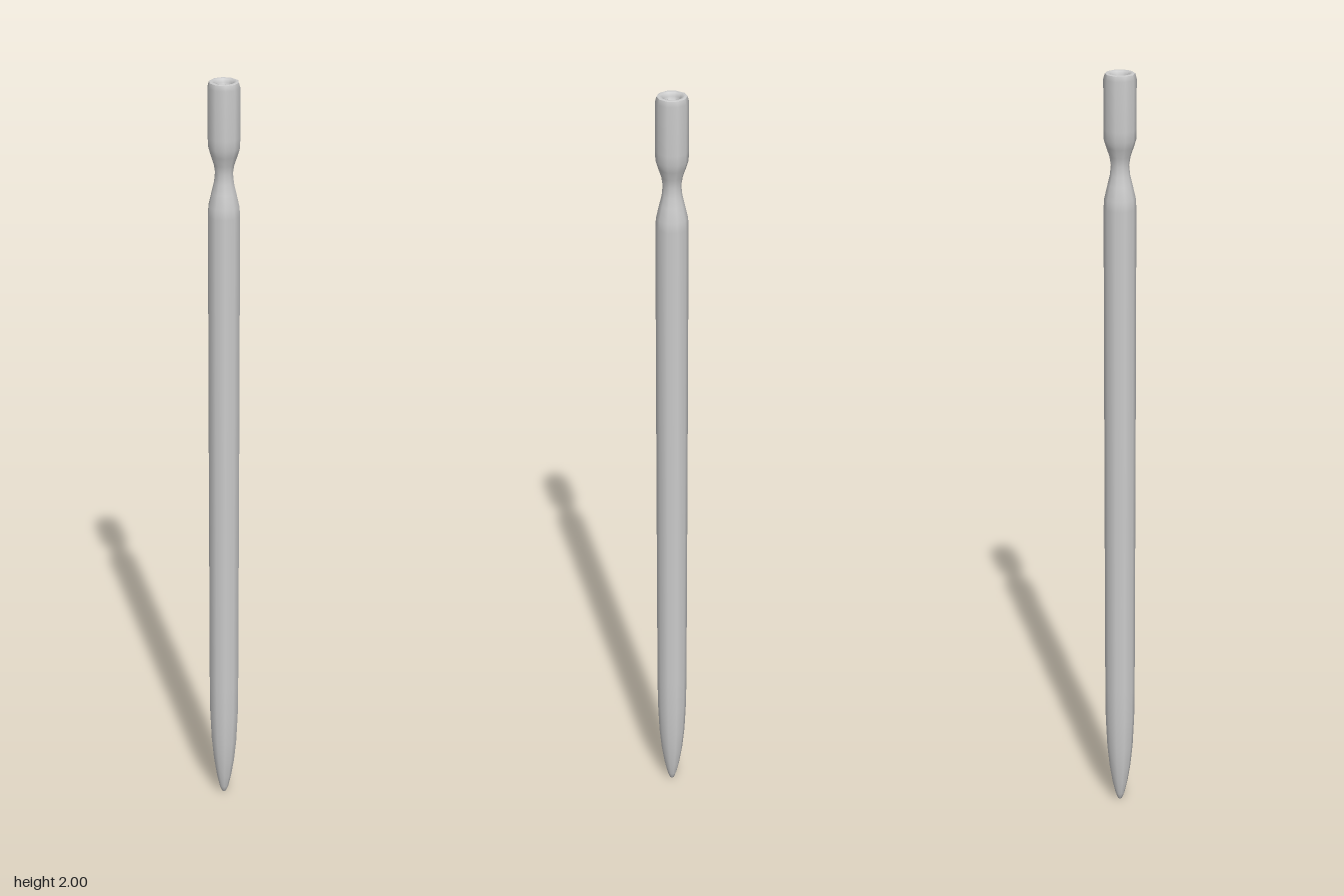
import * as THREE from 'three';

const SIDES = 10;

// Turned part: profile of [radius, height] pairs, a corner pointing along +x
function turned(name, profile, material) {
  const points = profile.map(([r, y]) => new THREE.Vector2(r, y));
  const mesh = new THREE.Mesh(new THREE.LatheGeometry(points, SIDES, Math.PI / 2), material);
  mesh.name = name;
  return mesh;
}

export function createModel() {
  const group = new THREE.Group();
  group.name = 'pointedRod';
  const material = new THREE.MeshStandardMaterial({ color: 0xcccccc, side: THREE.DoubleSide });

  // Rounded point, long shaft, waisted neck and head in one smooth sweep
  group.add(turned('shaft', [
    [0, 0], [0.006, 0.004], [0.012, 0.02], [0.02, 0.055], [0.028, 0.105],
    [0.034, 0.165], [0.038, 0.25], [0.039, 0.34], [0.04, 0.97], [0.0405, 1.66],
    [0.039, 1.685], [0.031, 1.72], [0.025, 1.745], [0.0225, 1.77],
    [0.026, 1.792], [0.034, 1.815], [0.04, 1.835], [0.0405, 1.86], [0.0405, 1.985],
    [0.037, 1.998],
  ], material));

  // Rim of the head with a shallow dished recess
  group.add(turned('headRecess', [
    [0.037, 1.998], [0.032, 2], [0.025, 1.998], [0.021, 1.99], [0.018, 1.975], [0, 1.968],
  ], material));

  return group;
}
